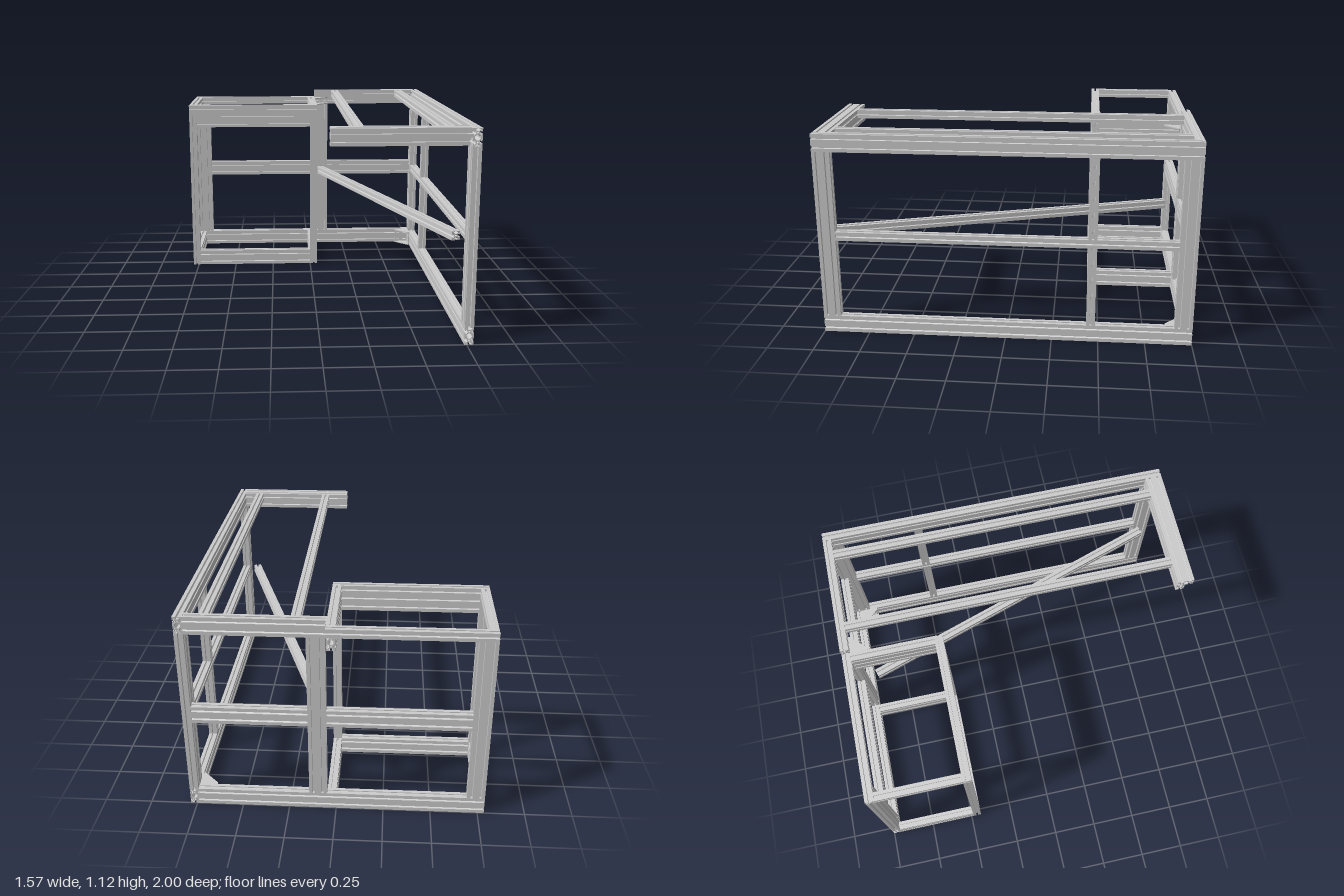
import * as THREE from 'three';

const U = 0.0475; // one cell of the slotted profile
const material = new THREE.MeshStandardMaterial({ color: 0xcccccc, flatShading: true, side: THREE.DoubleSide });

// Closed path through [x, y] points given in cell units
function polygon(points, Type, cx = 0, cy = 0) {
  return new Type(points.map(([x, y]) => new THREE.Vector2((x + cx) * U, (y + cy) * U)));
}

// Slotted profile of nx by ny cells, centred on the origin
function profile(nx, ny) {
  // One T-slot as [position along the edge, depth]
  const slot = [[-0.11, 0], [-0.11, 0.1], [-0.3, 0.1], [-0.1, 0.32], [0.1, 0.32], [0.3, 0.1], [0.11, 0.1], [0.11, 0]];
  const points = [];
  for (let side = 0; side < 4; side++) {
    const along = side % 2 ? ny : nx, half = (side % 2 ? nx : ny) / 2;
    const a = side * Math.PI / 2, c = Math.cos(a), s = Math.sin(a);
    const add = (t, d) => points.push([t * c - (d - half) * s, t * s + (d - half) * c]);
    add(-along / 2, 0);
    for (let i = 0; i < along; i++) slot.forEach(([t, d]) => add(t + i - (along - 1) / 2, d));
  }
  // Each side is traced with depth measured inwards from the edge
  const shape = polygon(points.map(([x, y]) => [x, -y]), THREE.Shape);
  const bore = [[0.1, 0.04], [0.04, 0.1], [-0.04, 0.1], [-0.1, 0.04], [-0.1, -0.04], [-0.04, -0.1], [0.04, -0.1], [0.1, -0.04]];
  const core = [[0.32, 0.1], [0.1, 0.3], [-0.1, 0.3], [-0.32, 0.1], [-0.32, -0.1], [-0.1, -0.3], [0.1, -0.3], [0.32, -0.1]];
  for (let i = 0; i < nx; i++) for (let j = 0; j < ny; j++) {
    const x = i - (nx - 1) / 2, y = j - (ny - 1) / 2;
    shape.holes.push(polygon(bore, THREE.Path, x, y));
    if (i) shape.holes.push(polygon(core, THREE.Path, x - 0.5, y));
    if (j) shape.holes.push(polygon(core.map(([p, q]) => [q, p]), THREE.Path, x, y - 0.5));
  }
  return shape;
}

// Beam filling the given box, running along its longest side
function beam(name, x0, x1, y0, y1, z0, z1) {
  const size = [x1 - x0, y1 - y0, z1 - z0];
  const axis = size.indexOf(Math.max(...size));
  const [nx, ny, nz] = size.map((v) => Math.max(1, Math.round(v / U)));
  const section = axis === 0 ? profile(nz, ny) : axis === 1 ? profile(nx, nz) : profile(nx, ny);
  const geometry = new THREE.ExtrudeGeometry(section, { depth: size[axis], bevelEnabled: false });
  geometry.translate(0, 0, -size[axis] / 2);
  if (axis === 0) geometry.rotateY(Math.PI / 2);
  if (axis === 1) geometry.rotateX(-Math.PI / 2);
  const mesh = new THREE.Mesh(geometry, material);
  mesh.name = name;
  mesh.position.set((x0 + x1) / 2, (y0 + y1) / 2, (z0 + z1) / 2);
  return mesh;
}

// Corner bracket with legs along +x and +z, `cells` high
function cornerBracket(name, cells) {
  const group = new THREE.Group();
  group.name = name;
  const L = 2 * U, H = cells * U, T = 0.006;
  const part = (partName, geometry) => {
    const mesh = new THREE.Mesh(geometry, material);
    mesh.name = partName;
    group.add(mesh);
  };
  // Slotted flanges
  const plate = new THREE.Shape().moveTo(0, 0).lineTo(L, 0).lineTo(L, H).lineTo(0, H).closePath();
  for (let i = 0; i < 2; i++) for (let j = 0; j < cells; j++) {
    const x = (i + 0.5) * U, y = (j + 0.5) * U, r = 0.006, w = 0.007;
    const hole = new THREE.Path();
    hole.absarc(x + w, y, r, -Math.PI / 2, Math.PI / 2);
    hole.absarc(x - w, y, r, Math.PI / 2, Math.PI * 1.5);
    plate.holes.push(hole);
  }
  const options = { depth: T, bevelEnabled: false, curveSegments: 6 };
  part('backFlange', new THREE.ExtrudeGeometry(plate, options));
  part('sideFlange', new THREE.ExtrudeGeometry(plate, options).rotateY(-Math.PI / 2).translate(T, 0, 0));
  // Triangular cheeks
  const cheek = new THREE.Shape().moveTo(0, 0).lineTo(L, 0).lineTo(L, 0.012).lineTo(0.012, L).lineTo(0, L).closePath();
  for (const y of [T, H]) part('cheek', new THREE.ExtrudeGeometry(cheek, options).rotateX(Math.PI / 2).translate(0, y, 0));
  return group;
}

export function createModel() {
  const model = new THREE.Group();
  const add = (...args) => model.add(beam(...args));

  const R = 0.785, r1 = R - U;          // outer side frame
  const B = -1, b1 = B + U;             // back plane
  const low = 2 * U, high = 1.12 - 2 * U, top = 1.12;
  const X0 = -0.785, x0 = X0 + U;       // side box
  const X1 = U, x1 = 0;
  const F = -0.44, f1 = F - U;          // front of the side box
  const boxTop = high + U;
  const m0 = 0.538, m1 = m0 + U;        // middle rail height

  // Side frame
  add('sideBottomRail', r1, R, 0, low, -1, 1);
  add('sideTopRail', r1, R, high, top, -1, 1);
  add('sideFrontPost', r1, R, low, high, 1 - 2 * U, 1);
  add('sideBackPost', r1, R, low, high, B, B + 2 * U);
  add('sideMiddleRail', r1, R, m0, m1, B + 2 * U, 1 - 2 * U);
  add('sideMiddlePostLower', r1, R, low, m0, -0.4825, -0.435);
  add('sideMiddlePostUpper', r1, R, m1, high, -0.4825, -0.435);

  // Back frame
  add('backBottomRail', X0, r1, 0, low, B, b1);
  add('backTopRail', X1, r1, high, top, B, b1);
  add('backCenterPost', X1, X1 + 2 * U, low, high, B, b1);
  add('backCornerPost', X0, X0 + 2 * U, low, high, B, b1);
  add('backMiddleRail', X0 + 2 * U, X1, 0.515, 0.515 + 2 * U, B, b1);
  add('backMiddleRail', X1 + 2 * U, r1, 0.515, 0.515 + 2 * U, B, b1);

  // Side box
  add('boxTopBackRail', X0, X1, high, boxTop, B, b1);
  add('boxTopFrontRail', X0, X1, high, boxTop, f1, F);
  for (const x of [X0, x1]) {
    add('boxTopSideRail', x, x + U, high, boxTop, b1, f1);
    add('boxBottomSideRail', x, x + U, 0, low, b1, f1);
    add('boxFrontPost', x, x + U, 0, high, f1, F);
  }
  add('boxBottomFrontRail', x0, x1, 0, low, f1, F);
  add('boxUpperFrontRail', x0, x1, high - 2 * U, high, f1, F);
  add('boxUpperSideRail', x1, X1, high - 2 * U, high, b1, f1);

  // Cantilevered front rail with an L-shaped section
  add('frontRailFlange', X1, r1, top - U, top, 1 - 2 * U, 1);
  add('frontRailLeg', X1, r1, high, top - U, 1 - 2 * U, 1 - U);

  // Long rails under the open top
  for (const x of [0.168, 0.617]) add('topLongRail', x, x + U, top - U, top, b1, 1 - 2 * U);

  // Diagonal brace
  const from = new THREE.Vector2(0.085, -0.88), to = new THREE.Vector2(0.688, 0.93);
  const length = from.distanceTo(to);
  const brace = beam('diagonalBrace', -U / 2, U / 2, m0, m1, -length / 2, length / 2);
  brace.position.x = (from.x + to.x) / 2;
  brace.position.z = (from.y + to.y) / 2;
  brace.rotation.y = Math.atan2(to.x - from.x, to.y - from.y);
  model.add(brace);

  // Corner brackets
  const lower = cornerBracket('lowerCornerBracket', 2);
  lower.rotation.y = -Math.PI / 2;
  lower.position.set(r1, 0, b1);
  const upper = cornerBracket('upperCornerBracket', 1);
  upper.position.set(X1, high, b1);
  model.add(lower, upper);

  return model;
}
